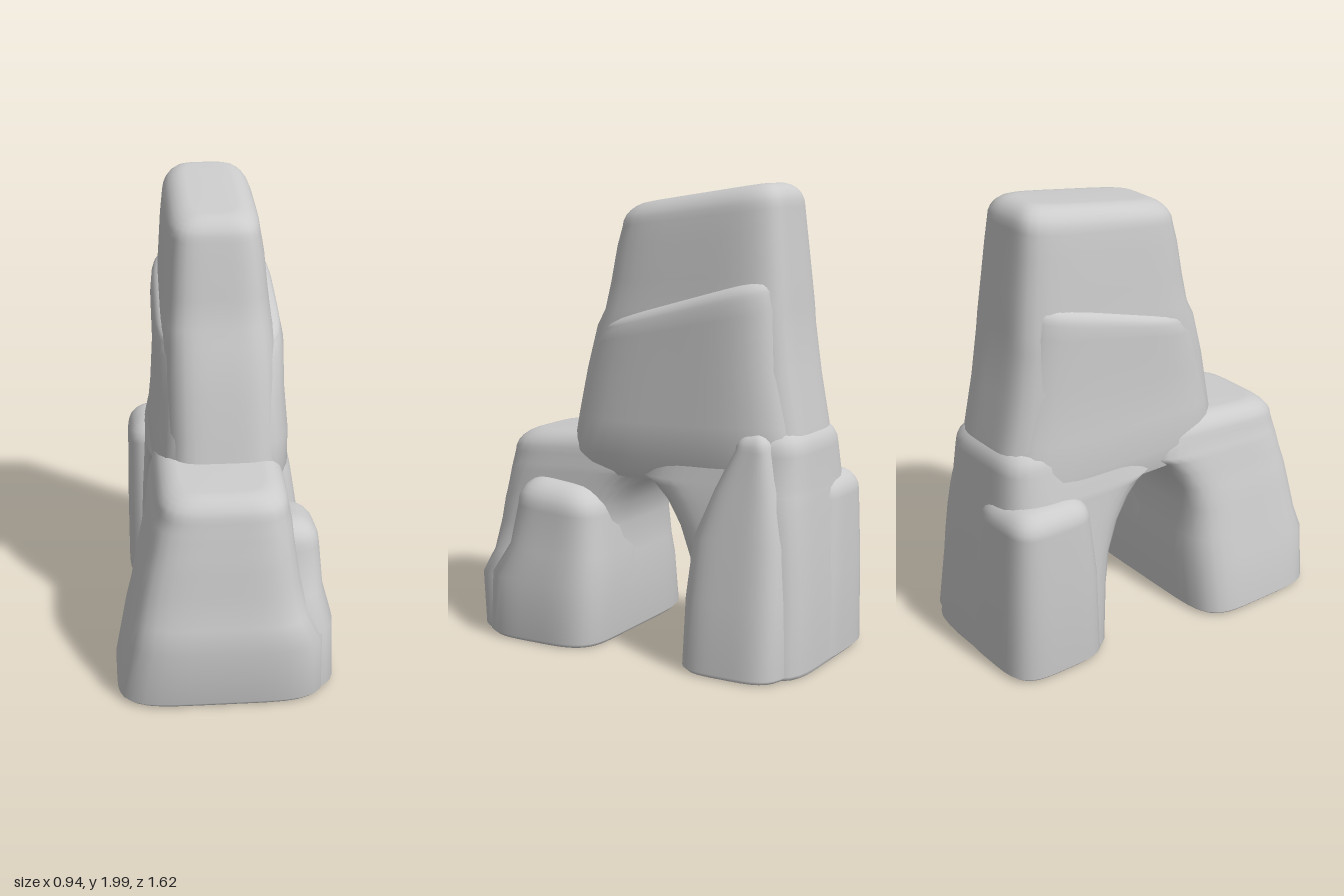
import * as THREE from 'three';

const SIDES = 56;

// Lofts soft-cornered rectangles [y, x0, x1, z0, z1] from bottom to top.
// The crown is rounded by `round` and tilted along z by `slope`.
function loft(name, sections, { round = 0.08, slope = 0, power = 5 } = {}) {
  const rings = sections.map((s) => [...s]);
  const [ty, ...t] = rings[rings.length - 1];
  for (let k = 1; k <= 6; k++) {
    const a = (k / 6) * Math.PI / 2;
    const d = round * (1 - Math.cos(a));
    rings.push([ty + round * Math.sin(a), t[0] + d, t[1] - d, t[2] + d, t[3] - d]);
  }
  const y0 = rings[0][0];
  const y1 = rings[rings.length - 1][0];
  const zMid = (t[2] + t[3]) / 2;
  const positions = [];
  const index = [];
  const addPoint = (x, y, z) => {
    const w = ((y - y0) / (y1 - y0)) ** 2;
    positions.push(x, y + slope * (z - zMid) * w, z);
  };
  const addRing = ([y, x0, x1, z0, z1]) => {
    for (let j = 0; j < SIDES; j++) {
      const a = (j / SIDES) * Math.PI * 2;
      const c = Math.cos(a), s = Math.sin(a);
      const r = (Math.abs(c) ** power + Math.abs(s) ** power) ** (-1 / power);
      addPoint((x0 + x1) / 2 + c * r * (x1 - x0) / 2, y, (z0 + z1) / 2 + s * r * (z1 - z0) / 2);
    }
  };
  rings.forEach(addRing);
  for (let i = 0; i < rings.length - 1; i++) {
    for (let j = 0; j < SIDES; j++) {
      const n = (j + 1) % SIDES;
      const a = i * SIDES + j, b = i * SIDES + n;
      index.push(a, a + SIDES, b, b, a + SIDES, b + SIDES);
    }
  }
  // Top cap shares the last ring; the flat base gets its own ring
  const last = (rings.length - 1) * SIDES;
  const top = rings.length * SIDES;
  addPoint((t[0] + t[1]) / 2, y1, zMid);
  const base = top + 1;
  addRing(rings[0]);
  const b = rings[0];
  addPoint((b[1] + b[2]) / 2, y0, (b[3] + b[4]) / 2);
  for (let j = 0; j < SIDES; j++) {
    const n = (j + 1) % SIDES;
    index.push(top, last + n, last + j, base + SIDES, base + j, base + n);
  }
  const geometry = new THREE.BufferGeometry();
  geometry.setAttribute('position', new THREE.Float32BufferAttribute(positions, 3));
  geometry.setIndex(index);
  geometry.computeVertexNormals();
  const mesh = new THREE.Mesh(geometry, new THREE.MeshStandardMaterial({ color: 0xcccccc }));
  mesh.name = name;
  return mesh;
}

export function createModel() {
  const group = new THREE.Group();
  group.name = 'rockArch';

  // Tall upper spire with a sloping top
  group.add(loft('spire', [
    [0.9, -0.25, 0.26, -0.72, 0.38],
    [1.0, -0.25, 0.26, -0.71, 0.36],
    [1.2, -0.25, 0.25, -0.67, 0.32],
    [1.4, -0.245, 0.24, -0.64, 0.27],
    [1.47, -0.24, 0.23, -0.635, 0.235],
    [1.6, -0.23, 0.215, -0.62, 0.21],
    [1.76, -0.22, 0.2, -0.6, 0.185],
    [1.85, -0.21, 0.185, -0.59, 0.165],
  ], { round: 0.1, slope: -0.15 }));

  // Wider body bridging the legs, with a diagonal ledge on top
  group.add(loft('body', [
    [0.75, -0.27, 0.26, -0.72, 0.36],
    [0.85, -0.29, 0.3, -0.72, 0.37],
    [1.0, -0.275, 0.3, -0.69, 0.35],
    [1.2, -0.265, 0.285, -0.64, 0.31],
    [1.4, -0.27, 0.285, -0.61, 0.25],
    [1.45, -0.265, 0.275, -0.6, 0.22],
  ], { round: 0.06, slope: -0.28, power: 4.5 }));

  // Front leg, its inner side curving up to the arch crown
  group.add(loft('frontLeg', [
    [0, -0.45, 0.38, 0.16, 0.77],
    [0.02, -0.47, 0.4, 0.14, 0.79],
    [0.26, -0.425, 0.39, 0.135, 0.81],
    [0.36, -0.4, 0.33, 0.145, 0.78],
    [0.5, -0.375, 0.3, 0.15, 0.755],
    [0.6, -0.35, 0.285, 0.12, 0.745],
    [0.68, -0.33, 0.275, 0.065, 0.73],
    [0.74, -0.32, 0.27, 0.0, 0.72],
    [0.77, -0.31, 0.265, -0.06, 0.715],
    [0.82, -0.295, 0.255, -0.04, 0.705],
  ], { round: 0.1, slope: -0.09 }));
  group.add(loft('frontLegShoulder', [
    [0, -0.1, 0.43, 0.16, 0.7],
    [0.02, -0.1, 0.45, 0.14, 0.72],
    [0.27, -0.1, 0.445, 0.135, 0.71],
    [0.4, -0.1, 0.41, 0.145, 0.63],
    [0.58, -0.1, 0.395, 0.16, 0.59],
  ], { round: 0.12, slope: 0.1, power: 4 }));

  // Back leg, mirroring the arch curve
  group.add(loft('backLeg', [
    [0, -0.33, 0.36, -0.79, -0.3],
    [0.02, -0.34, 0.38, -0.8, -0.285],
    [0.3, -0.33, 0.35, -0.79, -0.27],
    [0.45, -0.32, 0.34, -0.78, -0.245],
    [0.58, -0.31, 0.33, -0.77, -0.19],
    [0.68, -0.305, 0.32, -0.76, -0.12],
    [0.74, -0.3, 0.31, -0.755, -0.05],
    [0.77, -0.3, 0.305, -0.75, 0.01],
    [0.9, -0.27, 0.28, -0.74, -0.08],
  ], { round: 0.12 }));
  // Tapering buttress on the left
  group.add(loft('backLegButtress', [
    [0, 0, 0.45, -0.73, -0.3],
    [0.02, 0, 0.47, -0.75, -0.285],
    [0.3, 0, 0.425, -0.735, -0.28],
    [0.55, 0, 0.385, -0.715, -0.3],
    [0.75, 0, 0.345, -0.68, -0.38],
    [0.92, 0, 0.315, -0.64, -0.47],
  ], { round: 0.08, power: 4 }));
  // Low lump on the right rear corner
  group.add(loft('backLegLump', [
    [0, -0.36, 0.1, -0.79, -0.36],
    [0.02, -0.38, 0.12, -0.81, -0.34],
    [0.4, -0.38, 0.05, -0.8, -0.36],
    [0.68, -0.375, 0, -0.785, -0.4],
  ], { round: 0.1, power: 4 }));

  return group;
}
